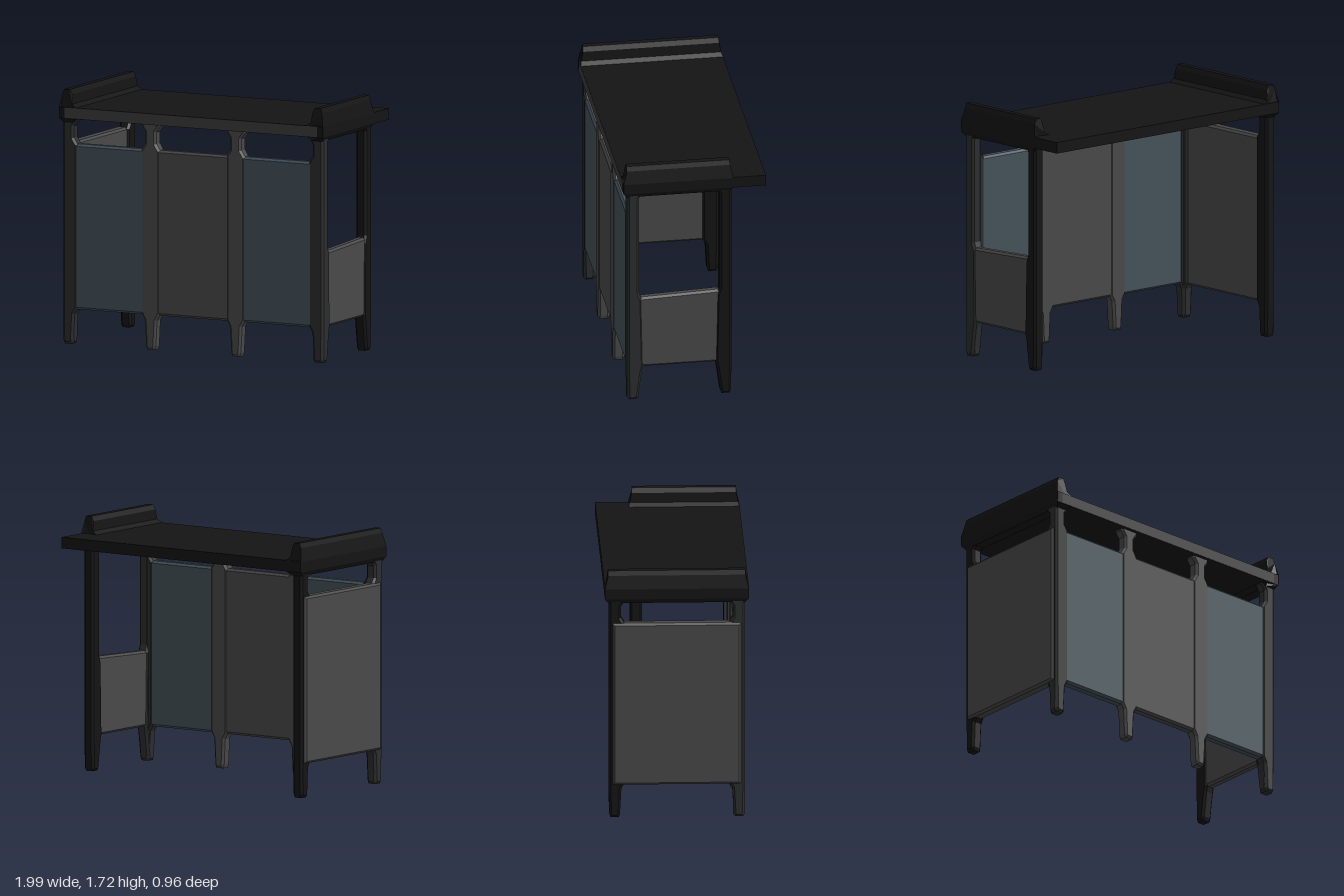
import * as THREE from 'three';

const DARK = 0x141414, POST = 0x2c2d2e, GREY = 0x484948, BLUE = 0x44525a;

// Bevelled slab cut from an outline, centred on its own thickness
function slab(name, points, thickness, color, bevel = 0.015) {
  const shape = new THREE.Shape(points.map(([x, y]) => new THREE.Vector2(x, y)));
  const geometry = new THREE.ExtrudeGeometry(shape, {
    depth: thickness - 2 * bevel, bevelEnabled: bevel > 0, bevelThickness: bevel,
    bevelSize: bevel, bevelOffset: -bevel, bevelSegments: 1,
  });
  geometry.translate(0, 0, -(thickness - 2 * bevel) / 2);
  const mesh = new THREE.Mesh(geometry, new THREE.MeshStandardMaterial({ color }));
  mesh.name = name;
  return mesh;
}

// Place a slab; along z turns its outline from x to z
function place(mesh, x, z, alongZ = false) {
  mesh.position.set(x, 0, z);
  if (alongZ) mesh.rotation.y = -Math.PI / 2;
  return mesh;
}

const rect = (a, b, y0, y1) => [[a, y0], [b, y0], [b, y1], [a, y1]];

// Post silhouette as [half width, height]: plain edge, and edge flaring into panel and roof
const PLAIN = [[0.028, 0], [0.036, 0.025], [0.04, 0.2], [0.04, 1.54]];
const FLARED = [[0.028, 0], [0.036, 0.025], [0.045, 0.2], [0.07, 0.245],
  [0.07, 1.345], [0.042, 1.39], [0.042, 1.47], [0.07, 1.51], [0.07, 1.54]];
const LOW_FLARED = [[0.028, 0], [0.036, 0.025], [0.06, 0.2], [0.07, 0.245],
  [0.06, 0.73], [0.042, 0.78], [0.042, 1.48], [0.06, 1.51], [0.06, 1.54]];

function postOutline(left, right) {
  return [...right, ...left.map(([w, y]) => [-w, y]).reverse()];
}

export function createModel() {
  const model = new THREE.Group();
  model.name = 'shelter';
  const X = 0.94, Z = 0.415, T = 0.08;

  // Corner posts at the front: one flare along each wall
  for (const s of [-1, 1]) {
    const inward = s > 0 ? postOutline(FLARED, PLAIN) : postOutline(PLAIN, FLARED);
    const sideFlare = s > 0 ? LOW_FLARED : FLARED;
    const post = new THREE.Group();
    post.name = s > 0 ? 'frontLeftPost' : 'frontRightPost';
    post.add(
      place(slab('postFrontFace', inward, T, POST), s * X, Z),
      place(slab('postSideFace', postOutline(sideFlare, PLAIN), T, POST), s * X, Z, true),
    );
    model.add(post);

    // Middle posts
    model.add(place(slab('middlePost', postOutline(FLARED, FLARED), T, GREY), s * 0.32, Z));
  }

  // Back posts: the left one stands further forward
  model.add(
    place(slab('backRightPost', postOutline(PLAIN, FLARED), T, DARK), -X, -Z, true),
    place(slab('backLeftPost', postOutline(PLAIN, LOW_FLARED), T, DARK), X, -0.21, true),
  );

  // Front wall in three bays
  [[-0.94, -0.32, BLUE], [-0.335, 0.335, GREY], [0.32, 0.94, BLUE]].forEach(([a, b, color]) =>
    model.add(place(slab('frontPanel', rect(a, b, 0.235, 1.35), 0.07, color), 0, Z)));

  // Side walls: tall on the right, low on the left
  model.add(
    place(slab('rightSidePanel', rect(-0.43, 0.43, 0.23, 1.355), 0.08, GREY), -0.953, 0, true),
    place(slab('leftSidePanel', [[-0.22, 0.235], [0.42, 0.235], [0.42, 0.742], [-0.22, 0.768]],
      0.065, GREY), X, 0, true),
  );

  // Roof slab
  const roof = new THREE.Mesh(new THREE.BoxGeometry(1.98, 0.075, 0.96),
    new THREE.MeshStandardMaterial({ color: DARK }));
  roof.name = 'roof';
  roof.position.y = 1.56;
  model.add(roof);

  // Grey fascia strip on the front edge of the roof
  const fascia = new THREE.Mesh(new THREE.BoxGeometry(1.9, 0.073, 0.01),
    new THREE.MeshStandardMaterial({ color: 0x3c3c3c }));
  fascia.name = 'frontFascia';
  fascia.position.set(0, 1.56, 0.477);
  model.add(fascia);

  // Raised roof ends, with the tips drawn in above and below the slab
  const profile = [[0.9, 1.495], [0.975, 1.495], [0.993, 1.525], [0.993, 1.595], [0.975, 1.685],
    [0.963, 1.717], [0.92, 1.717], [0.904, 1.685], [0.898, 1.62], [0.866, 1.597], [0.866, 1.525]];
  for (const s of [-1, 1]) {
    const outline = s > 0 ? profile : profile.map(([x, y]) => [-x, y]).reverse();
    const back = s > 0 ? -0.26 : -0.48, front = 0.48;
    const end = slab(s > 0 ? 'leftRoofEnd' : 'rightRoofEnd', outline, front - back, DARK, 0);
    const p = end.geometry.attributes.position;
    for (let i = 0; i < p.count; i++) {
      const y = p.getY(i);
      const inset = y > 1.6 ? Math.min(0.022, (y - 1.6) * 0.4) : y < 1.52 ? 0.024 : 0;
      p.setZ(i, p.getZ(i) - Math.sign(p.getZ(i)) * inset);
    }
    end.geometry.computeVertexNormals();
    model.add(place(end, 0, (front + back) / 2));
  }
  return model;
}
